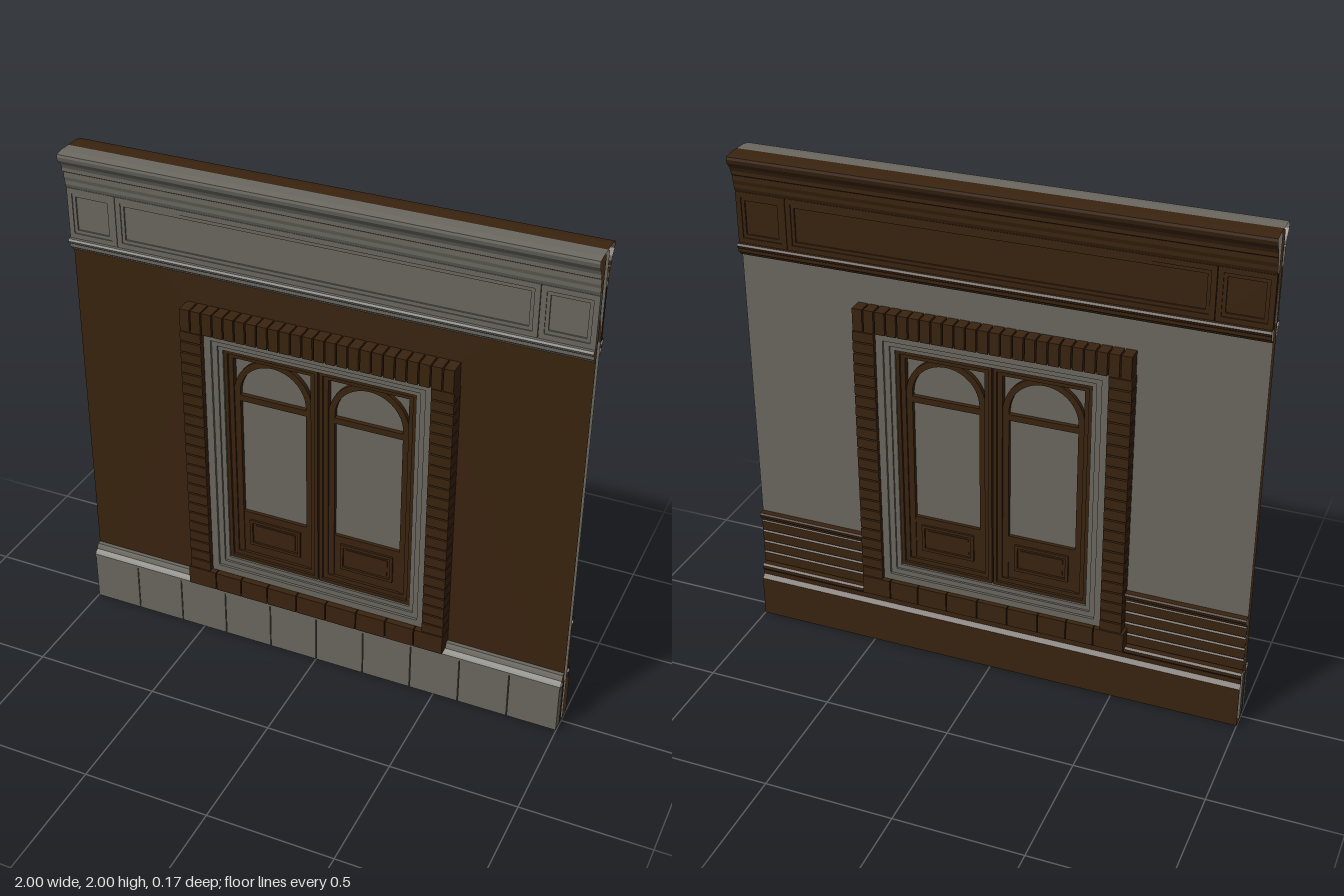
import * as THREE from 'three';

const stone = new THREE.MeshStandardMaterial({ color: 0x6a675f, side: THREE.DoubleSide });
stone.name = 'grey stone';
const brown = new THREE.MeshStandardMaterial({ color: 0x39230f, side: THREE.DoubleSide });
brown.name = 'dark brown';

function add(parent, name, geometry, material) {
  const mesh = new THREE.Mesh(geometry, material);
  mesh.name = name;
  parent.add(mesh);
  return mesh;
}

// Box given by its limits
function box(parent, name, x0, x1, y0, y1, z0, z1, material) {
  const m = add(parent, name, new THREE.BoxGeometry(x1 - x0, y1 - y0, z1 - z0), material);
  m.position.set((x0 + x1) / 2, (y0 + y1) / 2, (z0 + z1) / 2);
  return m;
}

function rect(Type, x0, x1, y0, y1) {
  const s = new Type();
  s.moveTo(x0, y0).lineTo(x1, y0).lineTo(x1, y1).lineTo(x0, y1).closePath();
  return s;
}

function extrude(parent, name, shape, z0, z1, material) {
  const g = new THREE.ExtrudeGeometry(shape, { depth: z1 - z0, bevelEnabled: false, curveSegments: 24 });
  return add(parent, name, g.translate(0, 0, z0), material);
}

// Rectangular border of width w
function ring(parent, name, x0, x1, y0, y1, w, z0, z1, material) {
  const s = rect(THREE.Shape, x0, x1, y0, y1);
  s.holes.push(rect(THREE.Path, x0 + w, x1 - w, y0 + w, y1 - w));
  return extrude(parent, name, s, z0, z1, material);
}

// Open moulding: a [z, y] profile, top to bottom, swept along x
function moulding(parent, name, profile, x0, x1, material) {
  const pos = [];
  for (let i = 0; i < profile.length - 1; i++) {
    const [za, ya] = profile[i], [zb, yb] = profile[i + 1];
    pos.push(x0, ya, za, x0, yb, zb, x1, yb, zb, x0, ya, za, x1, yb, zb, x1, ya, za);
  }
  const g = new THREE.BufferGeometry();
  g.setAttribute('position', new THREE.Float32BufferAttribute(pos, 3));
  g.computeVertexNormals();
  return add(parent, name, g, material);
}

const WALL = 0.018;
const CORNICE = [[0, 2], [0.05, 2], [0.08, 1.995], [0.082, 1.985], [0.078, 1.97], [0.062, 1.95], [0.055, 1.935],
  [0.055, 1.92], [0.047, 1.915], [0.047, 1.895], [0.042, 1.88], [0.042, 1.865], [0.036, 1.85], [WALL, 1.85]];
const FRIEZE_BASE = [[WALL, 1.65], [0.05, 1.65], [0.055, 1.642], [0.05, 1.632], [0.044, 1.628],
  [0.044, 1.615], [0.034, 1.608], [0.03, 1.6], [WALL, 1.6]];

// Sunk frieze panel with a moulded border
function friezePanel(parent, x0, x1, material) {
  const y0 = 1.65, y1 = 1.85;
  ring(parent, 'panelBorder', x0 + 0.001, x1 - 0.001, y0, y1, 0.02, WALL, 0.038, material);
  ring(parent, 'panelMoulding', x0 + 0.02, x1 - 0.02, y0 + 0.02, y1 - 0.02, 0.014, WALL, 0.034, material);
  box(parent, 'panelField', x0 + 0.034, x1 - 0.034, y0 + 0.034, y1 - 0.034, WALL, 0.028, material);
}

// Wall sheet, cornice and frieze of one face
function wallFace(name, wallMaterial, trimMaterial) {
  const g = new THREE.Group();
  g.name = name;
  const s = rect(THREE.Shape, -1, 1, 0, 1.99);
  s.holes.push(rect(THREE.Path, -0.458, 0.458, 0.3, 1.4));
  add(g, 'wall', new THREE.ShapeGeometry(s), wallMaterial).position.z = WALL;
  moulding(g, 'cornice', CORNICE, -1, 1, trimMaterial);
  moulding(g, 'friezeBase', FRIEZE_BASE, -1, 1, trimMaterial);
  friezePanel(g, -1, -0.8, trimMaterial);
  friezePanel(g, -0.8, 0.8, trimMaterial);
  friezePanel(g, 0.8, 1, trimMaterial);
  return g;
}

// One glazed casement, centred on its own x = 0
function casement() {
  const g = new THREE.Group();
  g.name = 'casement';
  ring(g, 'outerFrame', -0.189, 0.189, 0.38, 1.32, 0.014, -0.035, 0.035, brown);
  ring(g, 'innerFrame', -0.175, 0.175, 0.394, 1.306, 0.018, -0.025, 0.025, brown);
  for (const s of [-1, 1])
    box(g, 'stile', s * 0.146 - 0.012, s * 0.146 + 0.012, 0.41, 1.14, -0.018, 0.018, brown);
  box(g, 'transom', -0.134, 0.134, 1.105, 1.13, -0.018, 0.018, brown);
  const arch = new THREE.Shape();
  arch.absarc(0, 1.14, 0.158, 0, Math.PI, false);
  arch.absarc(0, 1.14, 0.134, Math.PI, 0, true);
  extrude(g, 'arch', arch, -0.018, 0.018, brown);
  add(g, 'glass', new THREE.PlaneGeometry(0.32, 0.74), stone).position.y = 0.95;
  // Lower wooden panel
  box(g, 'lowerPanel', -0.134, 0.134, 0.41, 0.6, -0.014, 0.014, brown);
  ring(g, 'lowerPanelMoulding', -0.108, 0.108, 0.452, 0.568, 0.012, -0.022, 0.022, brown);
  box(g, 'lowerPanelField', -0.085, 0.085, 0.475, 0.545, -0.018, 0.018, brown);
  return g;
}

export function createModel() {
  const model = new THREE.Group();
  model.name = 'wallWithWindow';

  const front = wallFace('frontFace', brown, stone);
  const back = wallFace('backFace', stone, brown);
  back.rotation.y = Math.PI;
  model.add(front, back);

  // Front plinth blocks and their capping
  for (let i = 0; i < 10; i++)
    box(front, 'plinthBlock', -0.998 + i * 0.2, -0.802 + i * 0.2, 0, 0.2, 0, 0.06, stone);
  moulding(front, 'plinthCap', [[WALL, 0.25], [0.034, 0.25], [0.038, 0.24], [0.042, 0.228], [0.054, 0.22],
    [0.06, 0.212], [0.06, 0.2], [WALL, 0.2]], -1, 1, stone);

  // Back skirting and boarded dado
  moulding(back, 'skirting', [[WALL, 0.235], [0.046, 0.235], [0.054, 0.228], [0.054, 0.215], [0.046, 0.205],
    [0.046, 0.185], [0.062, 0.17], [0.062, 0], [0, 0]], -1, 1, brown);
  const dado = [[WALL, 0.475], [0.042, 0.475], [0.046, 0.468], [0.042, 0.455], [0.034, 0.448], [0.034, 0.44]];
  for (let i = 0; i < 4; i++) {
    const y = 0.435 - i * 0.05;
    dado.push([0.024, y], [0.03, y - 0.005], [0.03, y - 0.045], [0.024, y - 0.05]);
  }
  moulding(back, 'dado', dado, -1, -0.5, brown);
  moulding(back, 'dado', dado, 0.5, 1, brown);

  // Brick surround
  const surround = new THREE.Group();
  surround.name = 'brickSurround';
  model.add(surround);
  const n = 24, gap = 0.003;
  for (let i = 0; i < n; i++) {
    const y = 0.31 + i * 1.08 / n, x = -0.535 + i * 1.07 / n;
    for (const s of [-1, 1])
      box(surround, 'sideBrick', s * 0.4925 - 0.0425, s * 0.4925 + 0.0425,
        y + gap, y + 1.08 / n - gap, -0.075, 0.082, brown);
    box(surround, 'topBrick', x + gap, x + 1.07 / n - gap, 1.39, 1.48, -0.075, 0.083, brown);
  }
  const joints = [-0.547, -0.425, -0.315, -0.2, -0.075, 0.05, 0.178, 0.3, 0.418, 0.537];
  for (let i = 0; i < 9; i++)
    box(surround, 'sillBrick', joints[i] + 0.002, joints[i + 1] - 0.002, 0.23, 0.31, -0.078, 0.084, brown);

  // Stepped window frame
  const frame = new THREE.Group();
  frame.name = 'windowFrame';
  model.add(frame);
  ring(frame, 'frameOuter', -0.449, 0.449, 0.311, 1.389, 0.028, -0.06, 0.06, stone);
  ring(frame, 'frameMiddle', -0.421, 0.421, 0.339, 1.361, 0.022, -0.05, 0.05, stone);
  ring(frame, 'frameInner', -0.399, 0.399, 0.361, 1.339, 0.018, -0.042, 0.042, stone);

  for (const s of [-1, 1]) {
    const c = casement();
    c.position.x = s * 0.192;
    model.add(c);
  }
  return model;
}
